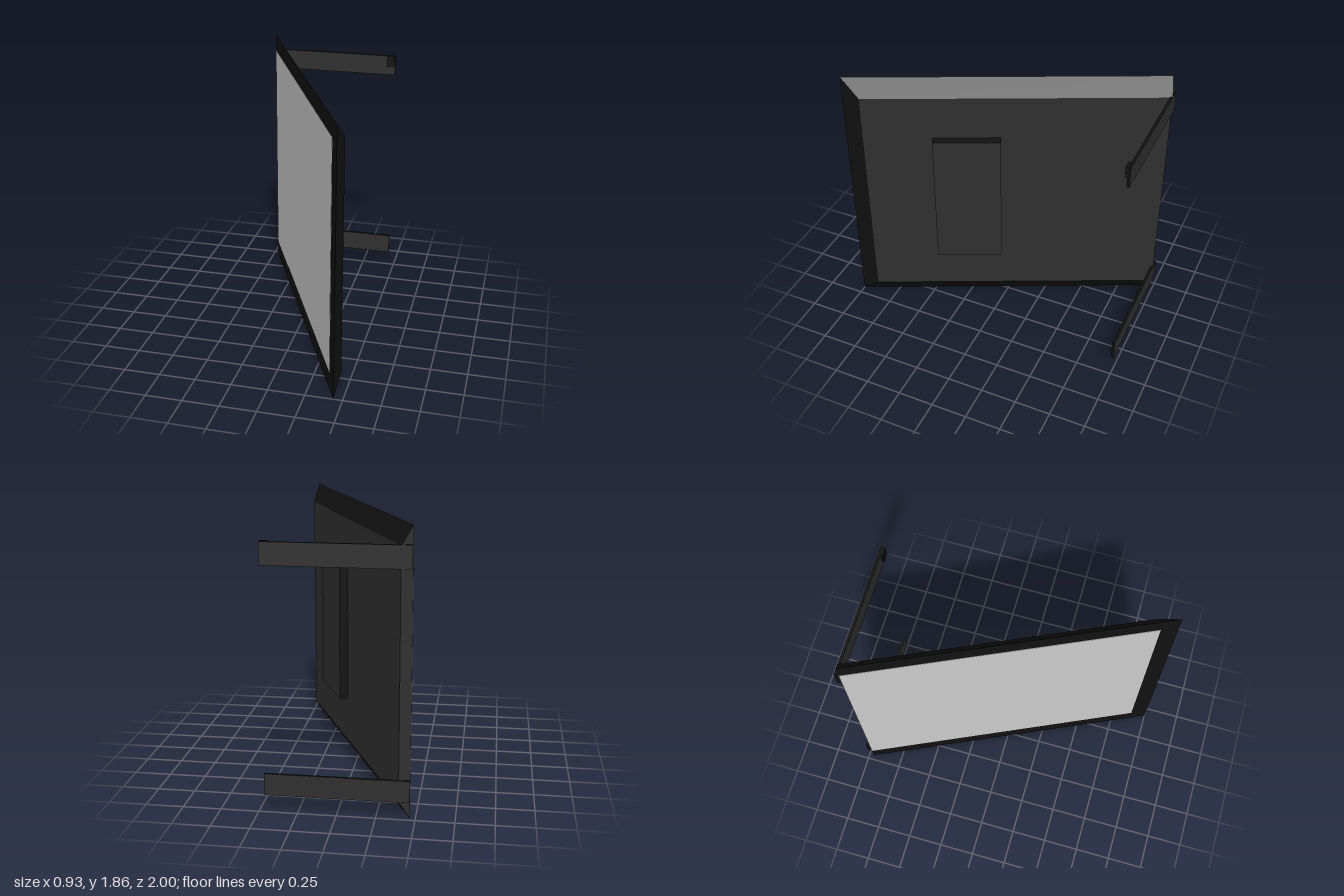
import * as THREE from 'three';

const mat = (color) => new THREE.MeshStandardMaterial({ color, flatShading: true });

export function createModel() {
  const model = new THREE.Group();
  const black = mat(0x111111);
  const charcoal = mat(0x2f2f2f);
  const grey = mat(0xcccccc);
  // face order: +x, -x, +y, -y, +z, -z
  const darkEdges = [black, black, black, black, charcoal, charcoal];

  // box given by its minimum and maximum corners
  function box(name, parent, [x0, y0, z0], [x1, y1, z1], material) {
    const g = new THREE.BoxGeometry(x1 - x0, y1 - y0, z1 - z0);
    g.translate((x0 + x1) / 2, (y0 + y1) / 2, (z0 + z1) / 2);
    const mesh = new THREE.Mesh(g, material);
    mesh.name = name;
    parent.add(mesh);
    return mesh;
  }

  const height = 1.86, inset = 0.12, depth = 0.077;
  const dx = 0.905, dz = 1.968;
  const length = Math.hypot(dx, dz);

  // swung-out panel: local x runs away from the hinge, local +z is the screen side
  const panel = new THREE.Group();
  panel.name = 'panel';
  panel.position.set(-0.465, 0, -0.968);
  panel.rotation.y = -Math.atan2(dz, dx);
  model.add(panel);

  // casing with its back face drawn in at the top, bottom and free end
  const casing = box('casing', panel, [0, 0, -depth], [length, height, 0],
    [black, charcoal, black, black, black, charcoal]);
  const p = casing.geometry.attributes.position;
  for (let i = 0; i < p.count; i++) {
    if (p.getZ(i) > -depth / 2) continue;
    p.setX(i, Math.min(p.getX(i), length - inset));
    p.setY(i, THREE.MathUtils.clamp(p.getY(i), inset, height - inset));
  }
  casing.geometry.computeVertexNormals();

  // screen, running right up to the hinge edge
  box('screen', panel, [0, inset, -0.001], [length - inset, height - inset, 0.002], grey);

  // electronics box on the back
  const boxEnd = 1.582;
  box('rearBox', panel, [1.123, 0.44, -depth - 0.06], [boxEnd, 1.43, -depth], darkEdges);

  // sockets on the end of the rear box: [bottom, top, width, material]
  const sockets = [
    [0.46, 0.63, 0.028, grey], [0.73, 0.77, 0.02, grey],
    [0.82, 0.9, 0.02, charcoal], [0.96, 1.04, 0.02, charcoal],
  ];
  for (const [y0, y1, w, m] of sockets) {
    box('socket', panel, [boxEnd - 0.002, y0, -0.1 - w / 2], [boxEnd + 0.002, y1, -0.1 + w / 2], m);
  }

  // two flat mounting arms along the back
  for (const [name, y] of [['lowerArm', 0.115], ['upperArm', 1.6]]) {
    box(name, model, [-0.465, y, -1], [0.46, y + 0.145, -0.982], darkEdges);
  }

  // small latch block at the tip of the upper arm
  box('latch', model, [0.4, 1.67, -0.985], [0.46, 1.748, -0.966], black);
  for (const y of [1.685, 1.72]) {
    box('latchPin', model, [0.459, y, -0.979], [0.462, y + 0.012, -0.971], charcoal);
  }

  return model;
}
